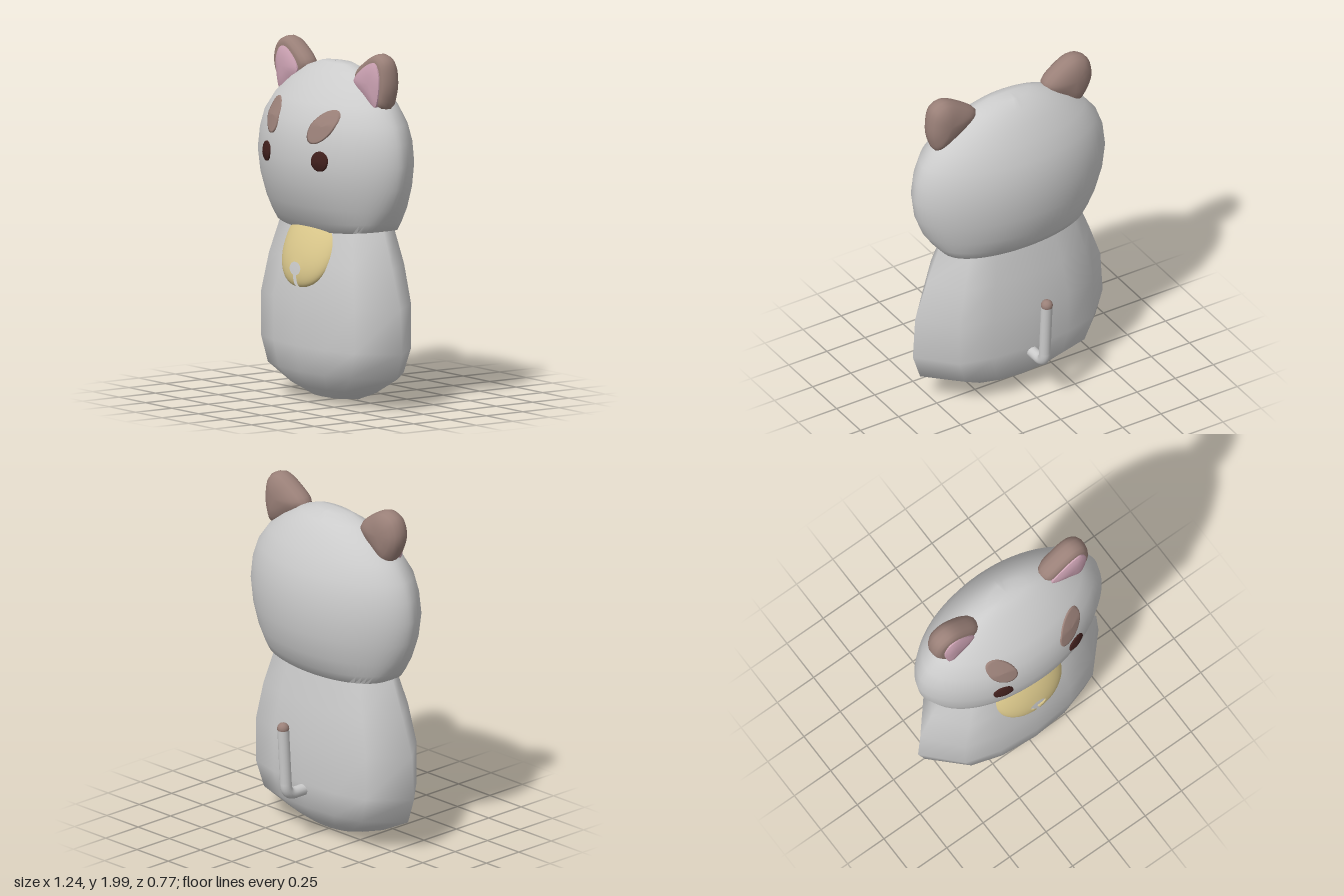
import * as THREE from 'three';
import { toCreasedNormals } from 'three/addons/utils/BufferGeometryUtils.js';

const mat = (color, side = THREE.FrontSide) => new THREE.MeshStandardMaterial({ color, side });
const GREY = mat(0xcccccc), BROWN = mat(0x9a8078), PINK = mat(0xcda3b4);
const BROW = mat(0x9a8078, THREE.DoubleSide), DARK = mat(0x401f1c, THREE.DoubleSide);
const GOLD = mat(0xdcc98c, THREE.DoubleSide);

function add(group, name, geometry, material) {
  const mesh = new THREE.Mesh(geometry, material);
  mesh.name = name;
  group.add(mesh);
  return mesh;
}

// Skin between rows of [x, y, z] points; closed joins each row's end to its start
function loft(rows, closed = true) {
  const n = rows[0].length, index = [];
  for (let i = 0; i < rows.length - 1; i++) {
    for (let j = 0; j < (closed ? n : n - 1); j++) {
      const k = (j + 1) % n;
      const a = i * n + j, b = i * n + k, c = b + n, d = a + n;
      index.push(a, b, c, a, c, d);
    }
  }
  const g = new THREE.BufferGeometry();
  g.setAttribute('position', new THREE.Float32BufferAttribute(rows.flat(2), 3));
  g.setIndex(index);
  g.computeVertexNormals();
  return g;
}

// Head levels: y, half width, front z, back z, roundness (lower is boxier)
const RIDGE = 0.05;
const HEAD = [
  [0.972, 0.452, 0.24, -0.15, 0.3], [1.03, 0.495, 0.285, -0.19, 0.42], [1.12, 0.547, 0.33, -0.23, 0.52],
  [1.25, 0.597, 0.37, -0.258, 0.58], [1.38, 0.614, 0.385, -0.267, 0.58], [1.5, 0.6, 0.373, -0.258, 0.58],
  [1.6, 0.562, 0.347, -0.232, 0.56], [1.7, 0.485, 0.29, -0.188, 0.54], [1.79, 0.37, 0.213, -0.135, 0.52],
  [1.86, 0.25, 0.145, -0.08, 0.5], [1.9, 0.13, 0.09, -0.025, 0.5], [1.91, 0, 0.045, 0.045, 0.5],
];

function headLevel(y) {
  let i = 0;
  while (i < HEAD.length - 2 && HEAD[i + 1][0] < y) i++;
  const t = (y - HEAD[i][0]) / (HEAD[i + 1][0] - HEAD[i][0]);
  return HEAD[i].map((v, k) => THREE.MathUtils.lerp(v, HEAD[i + 1][k], t));
}

function headFrontZ(x, y) {
  const [, w, zf, , q] = headLevel(y);
  return RIDGE + (zf - RIDGE) * (1 - (x / w) ** 2) ** q;
}

// Lens-shaped rings, narrowing at both sides
function headGeometry() {
  const N = 64;
  const rows = HEAD.map(([y, w, zf, zb, q]) => {
    const lift = 0.03 * Math.max(0, 1 - (y - 0.972) / 0.2);
    return Array.from({ length: N }, (_, j) => {
      const t = (j / N) * Math.PI * 2, s = Math.sin(t), c = Math.cos(t);
      const reach = c > 0 ? zf - RIDGE : RIDGE - zb;
      return [w * s, y + lift * s * s, RIDGE + Math.sign(c) * reach * Math.abs(c) ** (2 * q)];
    });
  });
  rows.unshift(rows[0].map(() => [0, 0.985, RIDGE]));
  return toCreasedNormals(loft(rows), 1.2);
}

// Body levels: y, half width, corner x, front z, front corner z, back corner z, back z
function bodyGeometry() {
  const levels = [
    [0.008, 0, 0, 0.06, 0.06, 0.06, 0.06],
    [0.03, 0.21, 0.14, 0.155, 0.125, -0.005, -0.03],
    [0.085, 0.375, 0.25, 0.225, 0.18, -0.055, -0.1],
    [0.185, 0.575, 0.39, 0.312, 0.24, -0.125, -0.185],
    [0.33, 0.622, 0.44, 0.328, 0.25, -0.14, -0.208],
    [0.58, 0.607, 0.44, 0.328, 0.25, -0.14, -0.208],
    [0.8, 0.53, 0.395, 0.282, 0.228, -0.125, -0.18],
    [1.0, 0.45, 0.34, 0.228, 0.19, -0.095, -0.145],
  ];
  return loft(levels.map(([y, w, sx, zf, zc, zd, zb]) => {
    const m = sx * 0.55, mf = zf - 0.25 * (zf - zc), mb = zb + 0.25 * (zd - zb);
    return [[0, y, zf], [m, y, mf], [sx, y, zc], [w, y, 0.055], [sx, y, zd], [m, y, mb],
      [0, y, zb], [-m, y, mb], [-sx, y, zd], [-w, y, 0.055], [-sx, y, zc], [-m, y, mf]];
  }));
}

// Pillow from a smooth counter-clockwise outline; profile lists [z, scale] from back to front
function pillow(points, profile) {
  const curve = new THREE.CatmullRomCurve3(points.map(([x, y]) => new THREE.Vector3(x, y, 0)), true);
  const outline = curve.getPoints(44).slice(0, -1);
  const mid = outline.reduce((sum, p) => sum.add(p), new THREE.Vector3()).divideScalar(outline.length);
  const rows = profile.map(([z, s]) =>
    outline.map(p => [mid.x + (p.x - mid.x) * s, mid.y + (p.y - mid.y) * s, z]));
  return toCreasedNormals(loft(rows), 0.8);
}

// Oval patch that follows the face and bulges slightly
function facePatch(cx, cy, rx, ry, tilt, bulge) {
  const rows = [1, 1, 0.9, 0.7, 0.35, 0].map((r, i) => Array.from({ length: 32 }, (_, j) => {
    const a = (j / 32) * Math.PI * 2;
    const u = r * rx * Math.cos(a), v = r * ry * Math.sin(a);
    const x = cx + u * Math.cos(tilt) - v * Math.sin(tilt);
    const y = cy + u * Math.sin(tilt) + v * Math.cos(tilt);
    const out = i === 0 ? -0.01 : 0.007 + bulge * (1 - r * r);
    return [x, y, headFrontZ(x, y) + out];
  }));
  return loft(rows);
}

// Domed bell with a keyhole: rows run from the rim to the keyhole edge
function bellGeometry() {
  const RX = 0.23, RY = 0.24, CY = 0.9, P = 0.9, HALF_SLOT = 0.015;
  const pow = v => Math.sign(v) * Math.abs(v) ** P;
  const rows = [];
  for (let i = 12; i >= 0; i--) {
    const v = Math.sin((i / 12) * Math.PI / 2), row = [];
    for (let j = 0; j <= 56; j++) {
      const angle = start => start + (j / 56) * (2 * Math.PI - 2 * start);
      const a = angle(Math.asin(HALF_SLOT / 0.05));
      const b = angle(Math.asin((HALF_SLOT / RX) ** (1 / P)));
      const x = THREE.MathUtils.lerp(0.05 * Math.sin(a), RX * pow(Math.sin(b)), v);
      const y = THREE.MathUtils.lerp(0.765 - 0.037 * Math.cos(a), CY - RY * pow(Math.cos(b)), v);
      const rho = Math.abs(x / RX) ** (2 / P) + Math.abs((y - CY) / RY) ** (2 / P);
      const d = y - 0.66;
      const base = 0.31 - 0.15 * d - 0.5 * d * d - 0.5 * x * x;
      row.push([x, y, base + 0.06 * Math.sqrt(Math.max(0, 1 - rho))]);
    }
    rows.push(row);
  }
  return loft(rows, false);
}

export function createModel() {
  const model = new THREE.Group();
  add(model, 'body', bodyGeometry(), GREY);
  add(model, 'head', headGeometry(), GREY);

  // Ears with pink inner faces
  const ears = {
    right: {
      outer: [[-0.31, 1.76], [-0.225, 1.86], [-0.32, 1.955], [-0.42, 1.998], [-0.5, 1.965],
        [-0.533, 1.87], [-0.505, 1.77], [-0.43, 1.69]],
      inner: [[-0.36, 1.75], [-0.28, 1.83], [-0.38, 1.935], [-0.44, 1.94], [-0.478, 1.88],
        [-0.475, 1.79], [-0.44, 1.7]],
    },
    left: {
      outer: [[0.48, 1.69], [0.518, 1.76], [0.527, 1.86], [0.5, 1.965], [0.43, 1.998],
        [0.32, 1.95], [0.22, 1.86], [0.33, 1.76]],
      inner: [[0.45, 1.7], [0.485, 1.79], [0.486, 1.89], [0.45, 1.95], [0.38, 1.935],
        [0.255, 1.83], [0.36, 1.75]],
    },
  };
  const earProfile = [[-0.028, 0], [-0.025, 0.4], [-0.013, 0.7], [0.008, 0.9], [0.035, 1],
    [0.065, 1], [0.09, 0.95], [0.108, 0.84], [0.112, 0.7], [0.112, 0]];
  const innerProfile = [[0.09, 0], [0.09, 1], [0.12, 1], [0.13, 0.8], [0.136, 0.4], [0.137, 0]];
  for (const [side, { outer, inner }] of Object.entries(ears)) {
    add(model, `${side}Ear`, pillow(outer, earProfile), BROWN);
    add(model, `${side}InnerEar`, pillow(inner, innerProfile), PINK);
  }

  // Eyes and brow spots
  for (const [side, s] of [['right', -1], ['left', 1]]) {
    add(model, `${side}Eye`, facePatch(s * 0.25, 1.397, 0.055, 0.056, 0, 0.01), DARK);
  }
  add(model, 'rightBrow', facePatch(-0.23, 1.602, 0.068, 0.105, 0.5, 0.002), BROW);
  add(model, 'leftBrow', facePatch(0.233, 1.586, 0.07, 0.112, -0.72, 0.002), BROW);

  add(model, 'bell', bellGeometry(), GOLD);

  // Bent tail with a brown rounded tip
  const R = 0.033, tip = new THREE.Vector3(0, 0.695, -0.354);
  const bend = new THREE.Vector3(0, 0.292, -0.332);
  const path = new THREE.CurvePath();
  const p1 = new THREE.Vector3(0, 0.292, -0.265), p2 = new THREE.Vector3(0, 0.36, -0.333);
  path.add(new THREE.LineCurve3(new THREE.Vector3(0, 0.292, -0.15), p1));
  path.add(new THREE.QuadraticBezierCurve3(p1, bend, p2));
  path.add(new THREE.LineCurve3(p2, tip));
  add(model, 'tail', new THREE.TubeGeometry(path, 40, R, 16), GREY);
  add(model, 'tailTip', new THREE.SphereGeometry(R + 0.001, 16, 12), BROWN).position.copy(tip);

  return model;
}
